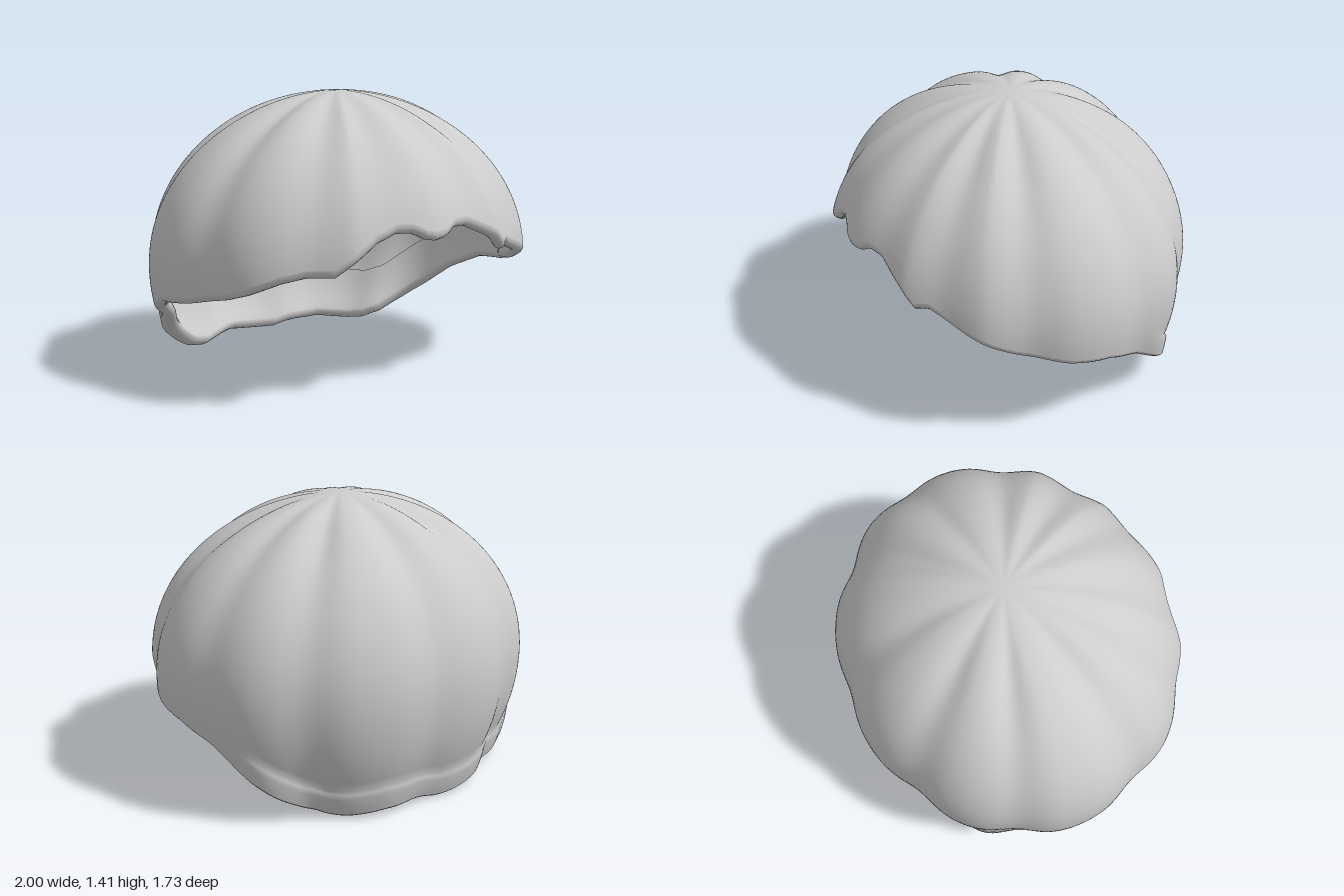
import * as THREE from 'three';

const COLS = 240;
const RAD = Math.PI / 180;
const CENTRE = 0.6; // height of the widest part

// Rim height around the shell: [degrees from the front towards +x, y]
const RIM = [
  [0, 0.81], [4, 0.82], [8, 0.86], [14, 0.86], [18, 0.83], [25, 0.77], [30, 0.70], [34, 0.72],
  [45, 0.65], [54, 0.59], [62, 0.54], [76, 0.49], [90, 0.46], [104, 0.36], [121, 0.19],
  [133, 0.05], [140, 0.02], [147, 0.025], [160, 0.045], [172, 0.025], [180, 0.01], [188, 0.025],
  [200, 0.045], [213, 0.025], [220, 0.02], [227, 0.05], [239, 0.19], [256, 0.36], [270, 0.46],
  [284, 0.49], [298, 0.54], [306, 0.58], [315, 0.64], [322, 0.67], [330, 0.67], [336, 0.74],
  [342, 0.82], [348, 0.86], [353, 0.855], [357, 0.82], [360, 0.81],
];

// Grooves: [degrees, depth]
const GROOVES = [
  [15, 0.025], [38, 0.035], [65, 0.035], [102, 0.025], [135, 0.04], [174, 0.035],
  [211, 0.04], [247, 0.035], [290, 0.035], [324, 0.03], [345, 0.02],
];

function rimHeight(deg) {
  const i = Math.max(1, RIM.findIndex((p) => p[0] >= deg));
  const [a0, y0] = RIM[i - 1];
  const [a1, y1] = RIM[i];
  return THREE.MathUtils.lerp(y0, y1, (deg - a0) / (a1 - a0));
}

function grooveDepth(deg) {
  let depth = 0;
  for (const [g, size] of GROOVES) {
    const d = Math.abs(((deg - g + 540) % 360) - 180);
    depth = Math.max(depth, size * Math.exp(-((d / 9) ** 2)));
  }
  return depth;
}

// Grid of points around the shell; each row has s from crown (0) to rim (1),
// rise back up from the rim, inset into the wall, drop past the rim and band.
function sheet(rows) {
  const pos = [];
  const index = [];
  for (const { s = 1, rise = 0, inset = 0, drop = 0, band = 0 } of rows) {
    for (let j = 0; j < COLS; j++) {
      const deg = (j / COLS) * 360;
      const sin = Math.sin(deg * RAD);
      const cos = Math.cos(deg * RAD);
      const h = rimHeight(deg) + 0.035 + 0.01 * cos - CENTRE;
      const theta = Math.acos(h / (h > 0 ? 0.84 : 0.95)) * s - rise * (0.25 - 0.05 * cos);
      const st = Math.sin(theta);
      const ct = Math.cos(theta);
      const nape = band * THREE.MathUtils.smoothstep(-cos, 0.3, 0.65);
      const groove = grooveDepth(deg) * THREE.MathUtils.smoothstep(st, 0.03, 0.6);
      const off = nape - inset - groove;
      const r = st + st * off + ct * drop;
      const y = CENTRE + (ct > 0 ? 0.84 : 0.95) * ct + ct * (off - nape) - st * drop;
      pos.push(r * sin, Math.max(0, y), r * cos * (cos > 0 ? 0.92 : 0.865));
    }
  }
  for (let i = 0; i < rows.length - 1; i++) {
    for (let j = 0; j < COLS; j++) {
      const k = (j + 1) % COLS;
      const a = i * COLS + j, b = a + COLS;
      const d = i * COLS + k, c = d + COLS;
      index.push(a, b, c);
      if (rows[i].s !== 0) index.push(a, c, d);
    }
  }
  const geo = new THREE.BufferGeometry();
  geo.setAttribute('position', new THREE.Float32BufferAttribute(pos, 3));
  geo.setIndex(index);
  geo.computeVertexNormals();
  return geo;
}

export function createModel() {
  const group = new THREE.Group();
  group.name = 'ribbedCap';
  const grey = new THREE.MeshStandardMaterial({ color: 0xcccccc, side: THREE.DoubleSide });
  grey.name = 'light grey';

  // Thin ribbed dome with a raised band along the nape
  const dome = [];
  for (let i = 0; i <= 36; i++) dome.push({ s: (i / 36) * 0.925 });
  for (let i = 0; i <= 4; i++) dome.push({ s: 0.932 + 0.017 * i, band: 0.02 + 0.012 * i });
  const domeGeo = sheet(dome);
  // Every crown point shares one upright normal
  for (let j = 0; j < COLS; j++) domeGeo.attributes.normal.setXYZ(j, 0, 1, 0);

  // Rounded rim that folds into a lip running up the inside
  const t = 0.035;
  const lip = [];
  for (let i = 0; i <= 8; i++) {
    const a = (i / 8) * Math.PI;
    lip.push({ inset: t - t * Math.cos(a), drop: t * Math.sin(a), band: 0.068 * (1 - i / 16) });
  }
  for (let i = 1; i <= 6; i++) {
    lip.push({ rise: i / 6, inset: 2 * t - 0.005 * i, band: 0.034 * (1 - i / 6) });
  }

  for (const [name, geo] of [['ribbedDome', domeGeo], ['foldedRim', sheet(lip)]]) {
    const mesh = new THREE.Mesh(geo, grey);
    mesh.name = name;
    group.add(mesh);
  }
  return group;
}
